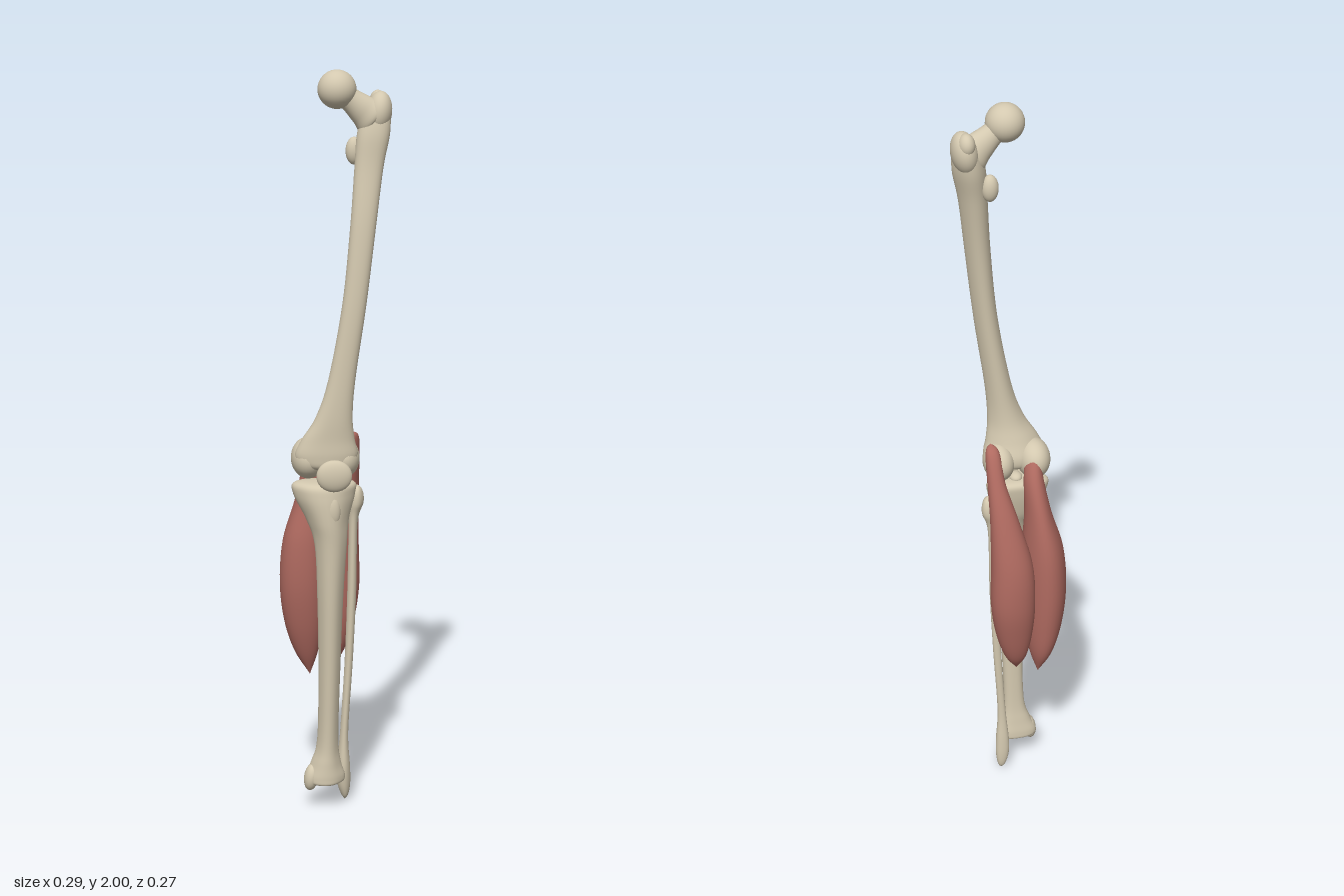
import * as THREE from 'three';

const bone = new THREE.MeshStandardMaterial({ color: 0xd3c8af });
bone.name = 'bone';
const muscle = new THREE.MeshStandardMaterial({ color: 0xaf6a60 });
muscle.name = 'muscle';

// Smooth closed loft through rings [x, y, z, radiusX, radiusZ], listed from top to bottom.
// ridge makes the section three-cornered: positive points forwards, negative backwards.
function loft(keys, ridge = 0, steps = 6, sides = 32) {
  const centre = new THREE.CatmullRomCurve3(keys.map(k => new THREE.Vector3(k[0], k[1], k[2])), false, 'catmullrom', 0.5);
  const radius = new THREE.CatmullRomCurve3(keys.map(k => new THREE.Vector3(k[3], 0, k[4])), false, 'catmullrom', 0.5);
  const rows = (keys.length - 1) * steps;
  const pos = [], index = [];
  for (let i = 0; i <= rows; i++) {
    const c = centre.getPoint(i / rows), r = radius.getPoint(i / rows);
    for (let j = 0; j < sides; j++) {
      const a = (j / sides) * Math.PI * 2;
      const m = 1 + ridge * Math.cos(3 * (a - Math.PI / 2));
      pos.push(c.x + Math.max(r.x, 0) * m * Math.cos(a), c.y, c.z + Math.max(r.z, 0) * m * Math.sin(a));
      if (i < rows) {
        const n = (j + 1) % sides, p = i * sides, q = p + sides;
        index.push(p + j, p + n, q + j, p + n, q + n, q + j);
      }
    }
  }
  const g = new THREE.BufferGeometry();
  g.setAttribute('position', new THREE.Float32BufferAttribute(pos, 3));
  g.setIndex(index);
  g.computeVertexNormals();
  return g;
}

function add(group, name, geometry, material = bone) {
  const mesh = new THREE.Mesh(geometry, material);
  mesh.name = name;
  group.add(mesh);
  return mesh;
}

// Rounded knob: an ellipsoid with centre, radii and an optional tilt about z
function knob(group, name, [x, y, z], [rx, ry, rz], tilt = 0) {
  const mesh = add(group, name, new THREE.SphereGeometry(1, 32, 20));
  mesh.position.set(x, y, z);
  mesh.scale.set(rx, ry, rz);
  mesh.rotation.z = tilt;
  return mesh;
}

function part(root, name) {
  const g = new THREE.Group();
  g.name = name;
  root.add(g);
  return g;
}

export function createModel() {
  const root = new THREE.Group();
  root.name = 'legBonesAndCalf';

  // Thigh bone: bowed shaft flaring into the knee
  const femur = part(root, 'femur');
  add(femur, 'femurShaft', loft([
    [0.105, 1.92, 0.012, 0, 0],
    [0.104, 1.90, 0.014, 0.03, 0.03],
    [0.095, 1.84, 0.022, 0.042, 0.04],
    [0.082, 1.75, 0.034, 0.037, 0.034],
    [0.066, 1.60, 0.054, 0.033, 0.033],
    [0.043, 1.40, 0.067, 0.031, 0.032],
    [0.010, 1.20, 0.070, 0.035, 0.032],
    [-0.010, 1.10, 0.068, 0.048, 0.035],
    [-0.025, 1.04, 0.060, 0.069, 0.042],
    [-0.030, 0.995, 0.053, 0.082, 0.050],
    [-0.030, 0.965, 0.053, 0.060, 0.042],
    [-0.030, 0.955, 0.053, 0, 0],
  ], -0.06));
  knob(femur, 'femurHead', [0, 1.95, 0.033], [0.05, 0.05, 0.05]);

  // Neck runs from the head down to the shaft
  const neck = add(femur, 'femurNeck', loft([
    [0, 0.06, 0, 0, 0],
    [0, 0.055, 0, 0.034, 0.034],
    [0, 0.02, 0, 0.030, 0.028],
    [0, -0.03, 0, 0.040, 0.032],
    [0, -0.065, 0, 0.048, 0.034],
    [0, -0.075, 0, 0, 0],
  ]));
  neck.position.set(0.045, 1.915, 0.028);
  neck.quaternion.setFromUnitVectors(new THREE.Vector3(0, 1, 0), new THREE.Vector3(-0.77, 0.63, 0.08).normalize());

  knob(femur, 'greaterTrochanter', [0.109, 1.888, 0.014], [0.034, 0.056, 0.046], -0.15);
  knob(femur, 'trochanterCrest', [0.108, 1.915, -0.005], [0.022, 0.03, 0.028]);
  knob(femur, 'lesserTrochanter', [0.046, 1.79, 0.005], [0.022, 0.036, 0.02]);
  knob(femur, 'innerCondyle', [-0.076, 0.983, 0.032], [0.046, 0.055, 0.062]);
  knob(femur, 'outerCondyle', [0.018, 0.983, 0.036], [0.042, 0.053, 0.06]);

  knob(root, 'kneecap', [-0.012, 0.952, 0.117], [0.047, 0.043, 0.018]);

  // Shin bone: broad plateau, ridged shaft, flared ankle
  const tibia = part(root, 'tibia');
  add(tibia, 'tibiaShaft', loft([
    [-0.034, 0.926, 0.045, 0, 0],
    [-0.034, 0.918, 0.045, 0.076, 0.046],
    [-0.034, 0.885, 0.049, 0.080, 0.054],
    [-0.026, 0.82, 0.058, 0.056, 0.049],
    [-0.018, 0.75, 0.067, 0.042, 0.037],
    [-0.019, 0.60, 0.061, 0.034, 0.035],
    [-0.021, 0.40, 0.052, 0.029, 0.030],
    [-0.025, 0.20, 0.043, 0.028, 0.027],
    [-0.030, 0.13, 0.040, 0.040, 0.032],
    [-0.033, 0.09, 0.038, 0.054, 0.036],
    [-0.033, 0.072, 0.038, 0.046, 0.032],
    [-0.033, 0.07, 0.038, 0, 0],
  ], 0.08));
  knob(tibia, 'tibiaTuberosity', [-0.016, 0.85, 0.094], [0.022, 0.045, 0.016]);
  knob(tibia, 'plateauSpine', [-0.03, 0.925, 0.04], [0.018, 0.014, 0.022]);
  knob(tibia, 'innerAnkle', [-0.07, 0.088, 0.04], [0.02, 0.038, 0.026], -0.15);

  // Slender outer bone
  add(root, 'fibula', loft([
    [0.056, 0.90, 0.000, 0, 0],
    [0.056, 0.885, 0.000, 0.014, 0.017],
    [0.053, 0.85, -0.002, 0.021, 0.023],
    [0.046, 0.79, -0.003, 0.012, 0.014],
    [0.043, 0.60, -0.006, 0.012, 0.013],
    [0.035, 0.40, -0.008, 0.011, 0.012],
    [0.023, 0.20, -0.008, 0.011, 0.013],
    [0.021, 0.10, -0.009, 0.018, 0.020],
    [0.022, 0.05, -0.012, 0.018, 0.019],
    [0.025, 0.015, -0.015, 0.010, 0.012],
    [0.025, 0.0, -0.015, 0, 0],
  ], 0.06));

  // Two calf bellies, hung from the back of the knee
  const calf = part(root, 'calfMuscles');
  add(calf, 'innerCalf', loft([
    [-0.070, 1.035, 0.020, 0, 0],
    [-0.070, 1.015, 0.008, 0.018, 0.020],
    [-0.064, 0.95, -0.024, 0.026, 0.028],
    [-0.073, 0.85, -0.040, 0.036, 0.047],
    [-0.086, 0.74, -0.044, 0.055, 0.067],
    [-0.090, 0.62, -0.047, 0.060, 0.070],
    [-0.086, 0.51, -0.053, 0.052, 0.058],
    [-0.078, 0.42, -0.060, 0.032, 0.036],
    [-0.068, 0.35, -0.060, 0, 0],
  ], -0.05), muscle);
  add(calf, 'outerCalf', loft([
    [0.044, 1.05, 0.018, 0, 0],
    [0.043, 1.03, 0.004, 0.018, 0.021],
    [0.040, 0.95, -0.025, 0.024, 0.030],
    [0.026, 0.85, -0.053, 0.038, 0.040],
    [0.010, 0.72, -0.069, 0.056, 0.058],
    [0.008, 0.60, -0.073, 0.060, 0.060],
    [0.003, 0.50, -0.067, 0.050, 0.050],
    [-0.003, 0.42, -0.062, 0.030, 0.031],
    [-0.008, 0.37, -0.058, 0, 0],
  ], 0.04), muscle);

  return root;
}
